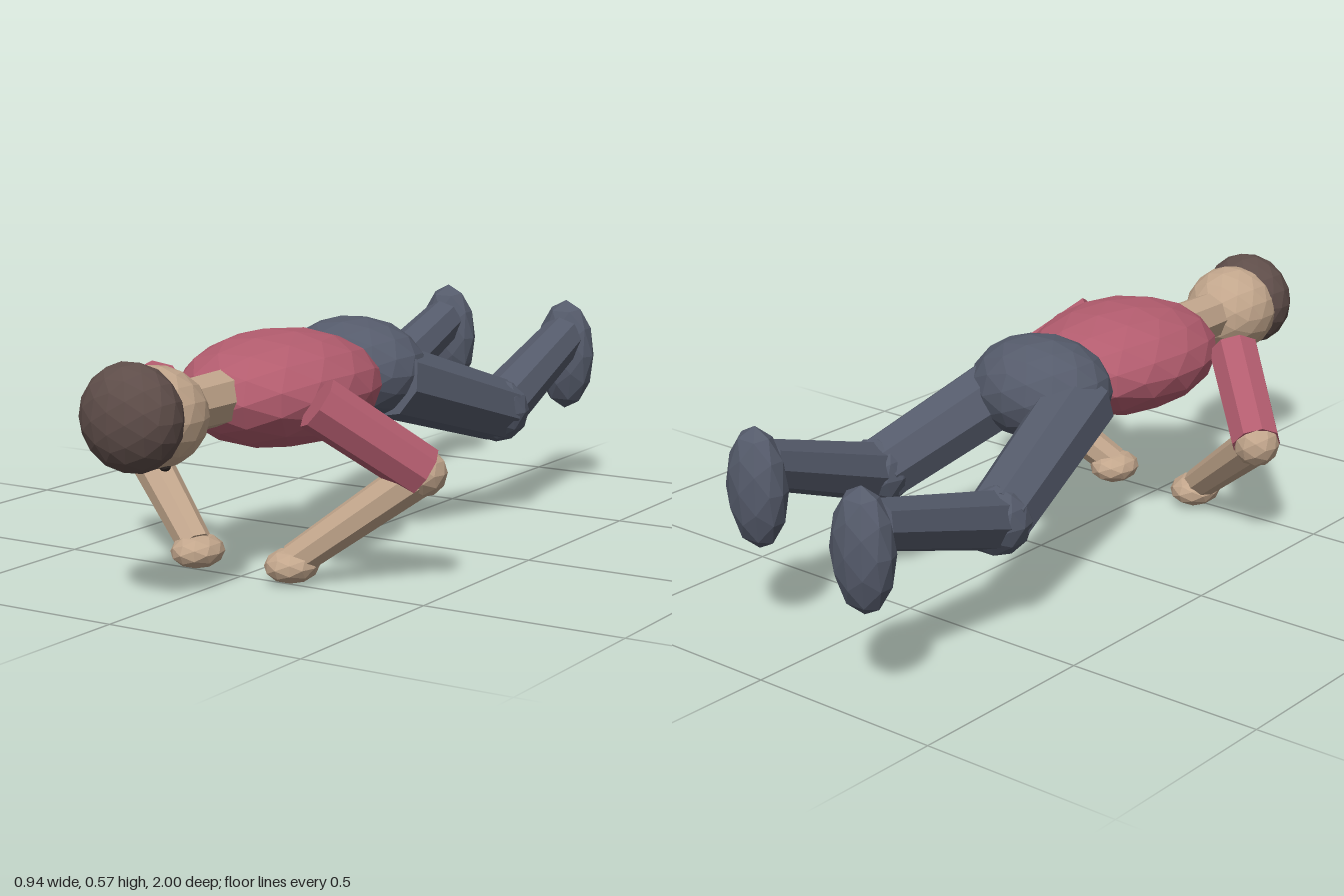
import * as THREE from 'three';

const mat = (name, color) => {
  const m = new THREE.MeshStandardMaterial({ color, flatShading: true });
  m.name = name;
  return m;
};

export function createModel() {
  const model = new THREE.Group();
  model.name = 'proneFigure';
  const skin = mat('skin', 0xc2a68c);
  const shirt = mat('shirt red', 0xb25c6e);
  const trousers = mat('trouser slate', 0x555b6b);
  const hair = mat('hair brown', 0x5e4d49);
  const dark = mat('eye dark', 0x2a2422);

  // Faceted ellipsoid
  const blob = (name, material, center, radii, detail = 1) => {
    const mesh = new THREE.Mesh(new THREE.IcosahedronGeometry(1, detail), material);
    mesh.name = name;
    mesh.position.set(...center);
    mesh.scale.set(...radii);
    model.add(mesh);
  };

  // Tapered eight-sided limb from point a to point b
  const limb = (name, material, a, b, ra, rb) => {
    const start = new THREE.Vector3(...a), end = new THREE.Vector3(...b);
    const axis = end.clone().sub(start);
    const mesh = new THREE.Mesh(new THREE.CylinderGeometry(rb, ra, axis.length(), 8), material);
    mesh.name = name;
    mesh.position.copy(start).add(end).multiplyScalar(0.5);
    mesh.quaternion.setFromUnitVectors(new THREE.Vector3(0, 1, 0), axis.normalize());
    model.add(mesh);
  };

  // Trunk
  blob('torso', shirt, [0, 0.43, 0.33], [0.225, 0.14, 0.29], 2);
  blob('hips', trousers, [0, 0.43, 0], [0.19, 0.132, 0.158], 2);

  // Head, face down
  limb('neck', skin, [0, 0.44, 0.55], [0, 0.44, 0.75], 0.066, 0.062);
  blob('head', skin, [0, 0.435, 0.83], [0.122, 0.117, 0.132], 2);
  blob('hair', hair, [0, 0.446, 0.908], [0.128, 0.125, 0.092], 2);

  for (const [side, s] of [['left', 1], ['right', -1]]) {
    blob(side + 'Eye', dark, [s * 0.045, 0.331, 0.85], [0.013, 0.01, 0.013]);

    // Arms bent under the chest
    const elbow = [s * 0.41, 0.272, 0.355];
    limb(side + 'UpperArm', shirt, [s * 0.225, 0.44, 0.515], elbow, 0.066, 0.063);
    blob(side + 'Elbow', skin, elbow, [0.058, 0.058, 0.058]);
    limb(side + 'Forearm', skin, elbow, [s * 0.14, 0.055, 0.485], 0.052, 0.042);
    blob(side + 'Hand', skin, [s * 0.135, 0.044, 0.485], [0.063, 0.042, 0.072]);
  }

  // Legs, each with its own knee, ankle and foot position
  const legs = [
    ['left', 0.11, [0.185, 0.28, -0.405], [0.172, 0.42, -0.8], [0.17, 0.37, -0.822]],
    ['right', -0.11, [-0.24, 0.28, -0.46], [-0.27, 0.42, -0.91], [-0.27, 0.37, -0.94]],
  ];
  for (const [side, hipX, knee, ankle, foot] of legs) {
    limb(side + 'Thigh', trousers, [hipX, 0.41, 0.01], knee, 0.095, 0.083);
    blob(side + 'Knee', trousers, knee, [0.085, 0.085, 0.085]);
    limb(side + 'Shin', trousers, knee, ankle, 0.073, 0.06);
    blob(side + 'Foot', trousers, foot, [0.083, 0.15, 0.06]);
  }
  return model;
}
